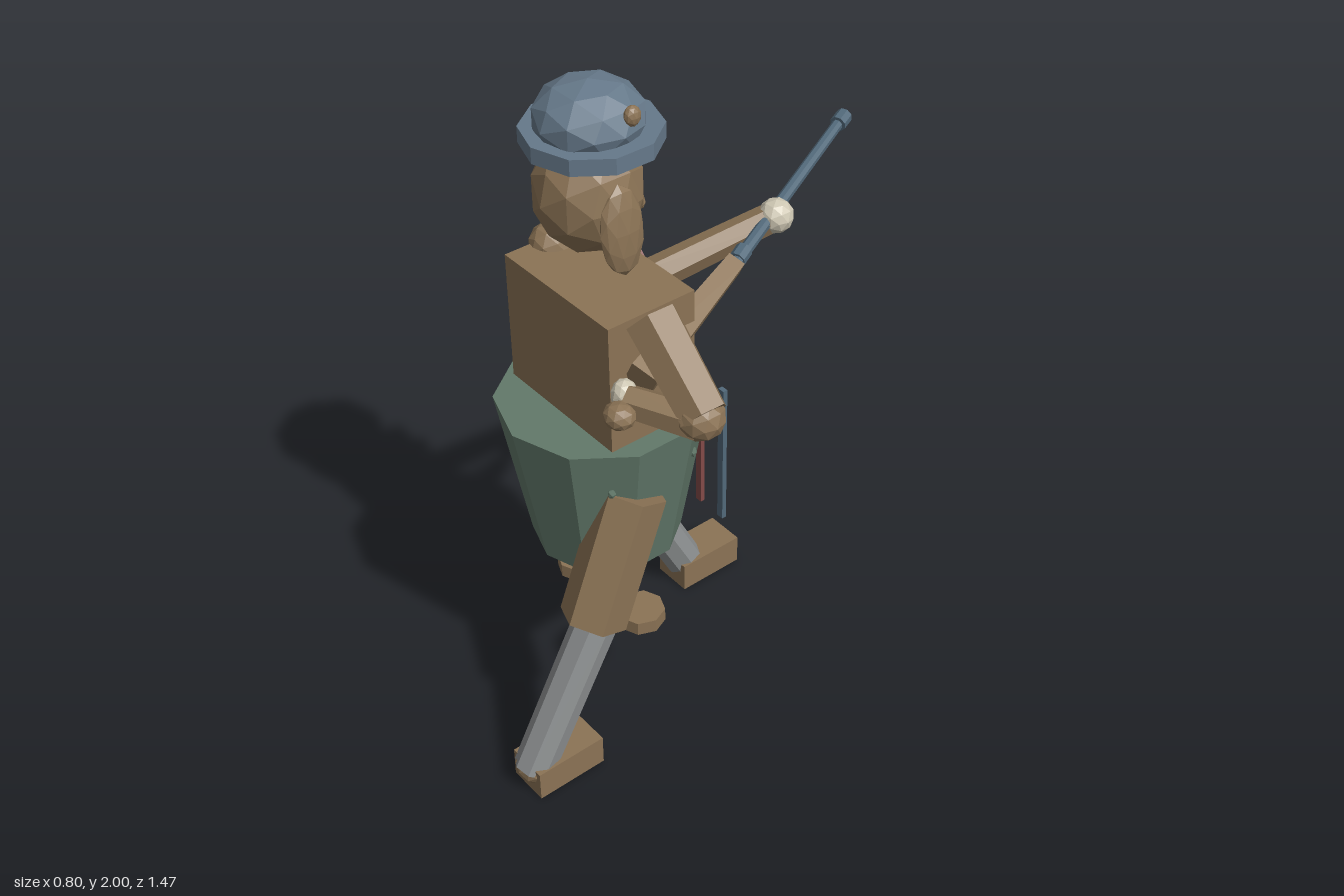
import * as THREE from 'three';

const mat = (name, color) => {
  const m = new THREE.MeshStandardMaterial({ color, flatShading: true });
  m.name = name;
  return m;
};

export function createModel() {
  const root = new THREE.Group();
  const brown = mat('brown', 0x8b7355), green = mat('kiltGreen', 0x62796a);
  const blue = mat('hatBlue', 0x66798a), grey = mat('stockingGrey', 0x8e9192);
  const cream = mat('cream', 0xcfc8b4), red = mat('darkRed', 0x834a48);
  const steel = mat('steelBlue', 0x52697a);

  const add = (name, geo, material, pos, scale) => {
    const m = new THREE.Mesh(geo, material);
    m.name = name;
    m.position.set(...pos);
    if (scale) m.scale.set(...scale);
    root.add(m);
    return m;
  };
  const box = (name, material, size, pos) => add(name, new THREE.BoxGeometry(...size), material, pos);
  // Faceted ellipsoid with the given half sizes
  const blob = (name, material, pos, radii, detail = 1) =>
    add(name, new THREE.IcosahedronGeometry(1, detail), material, pos, radii);
  // Tapered prism running from a to b
  const limb = (name, material, a, b, ra, rb, sides = 6) => {
    const p = new THREE.Vector3(...a), q = new THREE.Vector3(...b);
    const d = q.clone().sub(p);
    const mid = p.clone().add(q).multiplyScalar(0.5);
    const m = add(name, new THREE.CylinderGeometry(rb, ra, d.length(), sides), material, mid.toArray());
    m.quaternion.setFromUnitVectors(new THREE.Vector3(0, 1, 0), d.normalize());
    return m;
  };
  const cx = -0.1, cz = 0.243;

  // Head, snout, ears
  blob('head', brown, [cx, 1.7, 0.262], [0.145, 0.165, 0.145]);
  blob('nose', brown, [cx, 1.625, 0.13], [0.05, 0.03, 0.028]);
  for (const s of [-1, 1]) {
    blob('ear', brown, [cx + s * 0.135, 1.645, 0.262], [0.03, 0.125, 0.065]).rotation.z = s * 0.1;
  }

  // Cap
  add('capBrim', new THREE.CylinderGeometry(0.181, 0.181, 0.045, 10), blue, [cx, 1.853, cz]);
  blob('capDome', blue, [cx, 1.9, 0.25], [0.145, 0.1, 0.145]);
  blob('capBadge', brown, [0.026, 1.94, 0.215], [0.019, 0.028, 0.024]);

  // Torso, shirt front and diagonal sash
  box('torso', brown, [0.44, 0.385, 0.275], [cx, 1.253, 0.24]);
  box('shirtFront', cream, [0.25, 0.32, 0.03], [cx, 1.25, 0.09]);
  const sash = box('sash', red, [0.06, 0.56, 0.065], [cx, 1.285, 0.08]);
  sash.rotation.z = 0.75;
  [[-0.22, 1.41], [-0.13, 1.3], [-0.05, 1.18]].forEach(([x, y]) =>
    blob('button', brown, [x, y, 0.04], [0.022, 0.03, 0.022]));
  blob('sashClasp', cream, [0.02, 1.04, 0.05], [0.018, 0.018, 0.018], 0);

  // Kilt with studs and hanging strips
  add('kilt', new THREE.CylinderGeometry(0.293, 0.21, 0.465, 10), green, [cx, 0.828, cz]);
  for (const sx of [-1, 1]) for (const sz of [-1, 1]) {
    blob('kiltStud', green, [cx + sx * 0.215, 0.92, cz + sz * 0.137], [0.012, 0.018, 0.012], 0);
  }
  [steel, red, green, steel, red].forEach((m, i) =>
    box('kiltStrip', m, [0.022, 0.45, 0.014], [cx + 0.19 - i * 0.095, 0.83, -0.02]));

  // Legs: rear on +x, forward on -x
  limb('rearThigh', brown, [0.1, 0.88, 0.3], [0.11, 0.51, 0.455], 0.095, 0.095);
  limb('rearStocking', grey, [0.12, 0.55, 0.43], [0.1, 0.06, 0.675], 0.063, 0.06, 8);
  blob('rearHeel', brown, [0.1, 0.07, 0.675], [0.058, 0.052, 0.052]);
  box('rearFoot', brown, [0.125, 0.095, 0.22], [0.102, 0.0475, 0.59]);
  limb('frontThigh', brown, [-0.26, 0.89, 0.19], [-0.295, 0.5, 0.03], 0.095, 0.1);
  limb('frontStocking', grey, [-0.305, 0.53, 0.04], [-0.302, 0.06, -0.2], 0.063, 0.06, 8);
  blob('frontHeel', brown, [-0.302, 0.065, -0.195], [0.052, 0.05, 0.05]);
  box('frontFoot', brown, [0.125, 0.095, 0.22], [-0.302, 0.0475, -0.26]);
  for (const s of [-1, 1]) {
    add('looseDisc', new THREE.CylinderGeometry(0.07, 0.07, 0.042, 8), brown, [cx + s * 0.143, 0.35, 0.24]);
  }

  // Trigger arm, bent back
  limb('rearUpperArm', brown, [0.13, 1.43, 0.25], [0.345, 1.255, 0.258], 0.075, 0.068);
  blob('rearElbow', brown, [0.335, 1.25, 0.262], [0.068, 0.062, 0.065]);
  limb('rearForearm', brown, [0.345, 1.24, 0.27], [0.17, 1.25, 0.36], 0.05, 0.045);
  blob('rearHand', cream, [0.15, 1.255, 0.355], [0.036, 0.045, 0.036]);
  blob('stockEnd', brown, [0.2, 1.245, 0.41], [0.045, 0.036, 0.042]);

  // Supporting arm, reaching forward
  blob('shoulder', brown, [-0.3, 1.435, 0.24], [0.065, 0.06, 0.065]);
  limb('frontUpperArm', brown, [-0.32, 1.425, 0.235], [-0.2, 1.28, 0.06], 0.072, 0.06);
  blob('frontElbow', brown, [-0.2, 1.28, 0.05], [0.052, 0.052, 0.052]);
  limb('frontForearm', brown, [-0.2, 1.275, 0.06], [-0.07, 1.4, -0.31], 0.05, 0.042);
  blob('frontHand', cream, [-0.058, 1.41, -0.33], [0.05, 0.05, 0.05]);

  // Rifle
  limb('rifleStock', brown, [0.16, 1.285, 0.31], [0.015, 1.38, -0.12], 0.055, 0.035, 4);
  limb('rifleBarrel', steel, [0.02, 1.365, -0.1], [-0.218, 1.505, -0.72], 0.018, 0.016, 8);
  limb('rifleCollar', steel, [0.002, 1.375, -0.14], [-0.014, 1.385, -0.18], 0.024, 0.024, 8);
  limb('rifleMuzzle', steel, [-0.205, 1.5, -0.69], [-0.22, 1.508, -0.73], 0.024, 0.024, 8);
  return root;
}
